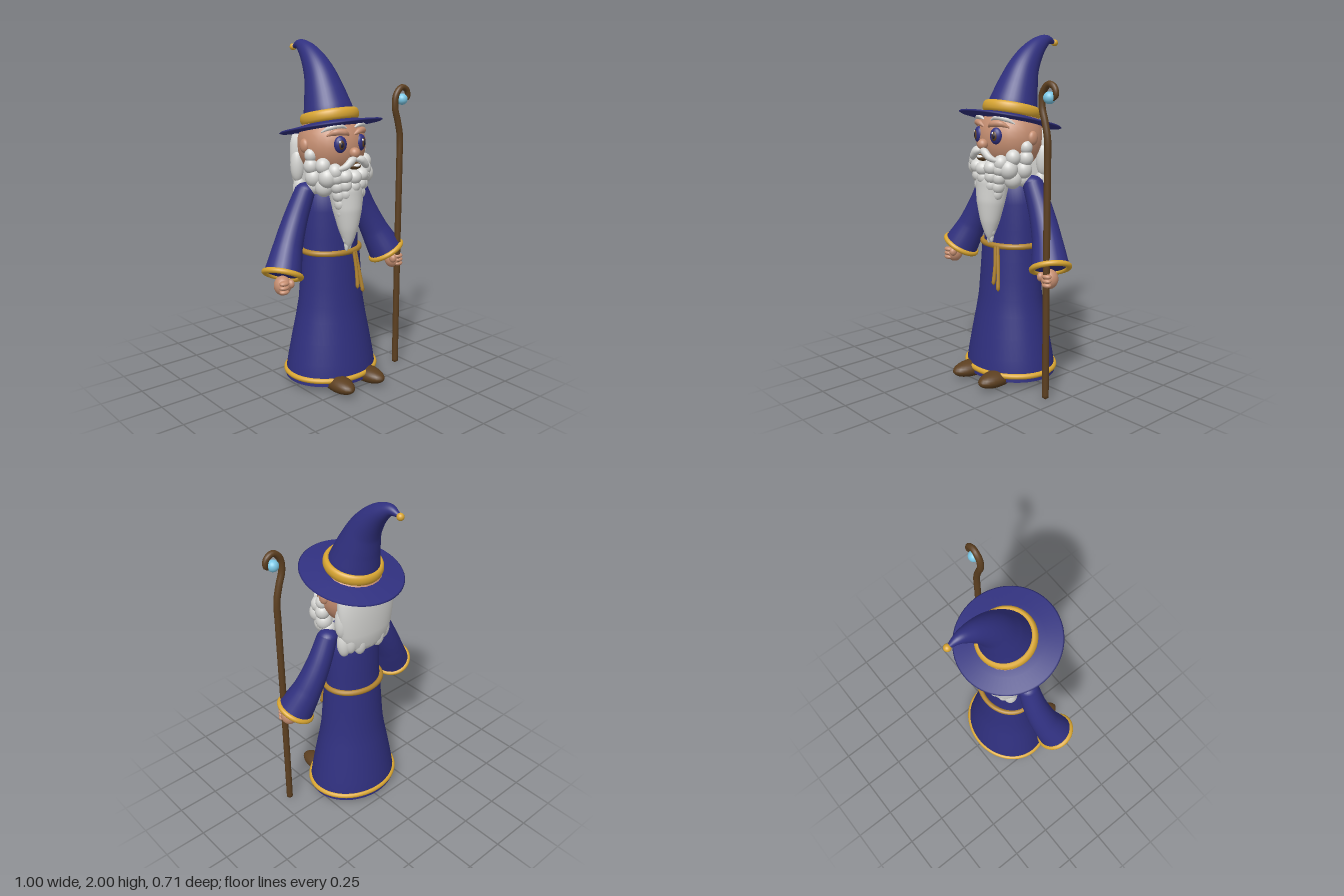
import * as THREE from 'three';
import { mergeVertices } from 'three/addons/utils/BufferGeometryUtils.js';

const mat = (name, color) => Object.assign(new THREE.MeshStandardMaterial({ color }), { name });
const V = (x, y, z) => new THREE.Vector3(x, y, z);

// Round tube through [x, y, z, radius] points, with smoothly varying radius
function sweep(pts, segs = 32, sides = 24) {
  const curve = new THREE.CatmullRomCurve3(pts.map(p => V(p[0], p[1], p[2])));
  const geo = new THREE.TubeGeometry(curve, segs, 1, sides);
  const pos = geo.attributes.position, v = V(0, 0, 0);
  for (let i = 0; i <= segs; i++) {
    const c = curve.getPointAt(i / segs);
    const f = curve.getUtoTmapping(i / segs) * (pts.length - 1);
    const k = Math.min(Math.floor(f), pts.length - 2);
    const r = THREE.MathUtils.lerp(pts[k][3], pts[k + 1][3], f - k);
    for (let j = 0; j <= sides; j++) {
      const n = i * (sides + 1) + j;
      v.fromBufferAttribute(pos, n).sub(c).multiplyScalar(r).add(c);
      pos.setXYZ(n, v.x, v.y, v.z);
    }
  }
  geo.deleteAttribute('uv');
  geo.deleteAttribute('normal');
  const out = mergeVertices(geo, 1e-5);
  out.computeVertexNormals();
  return out;
}

function lathe(points, segs = 48) {
  return new THREE.LatheGeometry(points.map(p => new THREE.Vector2(p[0], p[1])), segs);
}

export function createModel() {
  const root = new THREE.Group();
  const navy = mat('robe blue', 0x30307f);
  const gold = mat('gold trim', 0xd9a632);
  const rope = mat('rope belt', 0xb0832f);
  const skin = mat('skin', 0xc68f72);
  const white = mat('hair grey', 0xd6d6d3);
  const brown = mat('wood and leather', 0x5c3f20);
  const blue = mat('orb blue', 0x7cc8e6);
  const dark = mat('dark eye', 0x1c1c3a);
  const bright = mat('highlight white', 0xf4f4f4);

  const add = (name, geo, material, parent = root) => {
    const m = new THREE.Mesh(geo, material);
    m.name = name;
    parent.add(m);
    return m;
  };
  const ball = (name, material, p, s, parent = root) => {
    const m = add(name, new THREE.SphereGeometry(1, 24, 16), material, parent);
    m.position.set(...p);
    m.scale.set(...s);
    return m;
  };
  // Horizontal ring, radius r, tube t, depth scale sz
  const ring = (name, material, r, t, y, z, sz, parent = root) => {
    const m = add(name, new THREE.TorusGeometry(r, t, 12, 56).rotateX(Math.PI / 2), material, parent);
    m.position.set(0, y, z);
    m.scale.z = sz;
    return m;
  };

  // Robe: skirt and torso, oval in plan
  const skirt = add('skirt', lathe([[0, 0.04], [0.284, 0.04], [0.284, 0.04], [0.28, 0.09], [0.268, 0.16], [0.245, 0.28],
    [0.22, 0.4], [0.202, 0.5], [0.192, 0.62], [0.184, 0.72], [0.178, 0.81]]), navy);
  skirt.scale.z = 0.86;
  skirt.position.z = 0.015;
  const torso = add('torso', lathe([[0.178, 0.8], [0.173, 0.9], [0.17, 1.05], [0.16, 1.14], [0.125, 1.2], [0.07, 1.25], [0, 1.26]]), navy);
  torso.scale.z = 0.78;
  torso.position.z = 0.01;
  ring('hemTrim', gold, 0.281, 0.016, 0.075, 0.015, 0.86);
  ring('belt', rope, 0.18, 0.017, 0.81, 0.01, 0.85);
  add('longBeltTail', sweep([[0.06, 0.81, 0.165, 0.01], [0.08, 0.68, 0.18, 0.01], [0.095, 0.56, 0.195, 0.012], [0.095, 0.555, 0.195, 0]], 16, 10), rope);
  add('shortBeltTail', sweep([[0.045, 0.81, 0.17, 0.01], [0.055, 0.7, 0.182, 0.01], [0.055, 0.59, 0.195, 0.012], [0.055, 0.585, 0.195, 0]], 16, 10), rope);

  // Head
  const head = new THREE.Group();
  head.name = 'head';
  root.add(head);
  ball('skull', skin, [0, 1.42, 0.02], [0.2, 0.2, 0.19], head);
  ball('nose', skin, [0, 1.39, 0.222], [0.031, 0.031, 0.03], head);
  ball('mouth', brown, [0, 1.318, 0.222], [0.038, 0.02, 0.03], head);
  ball('teeth', bright, [0, 1.323, 0.238], [0.024, 0.01, 0.018], head);

  // Paired parts
  for (const s of [1, -1]) {
    const side = s > 0 ? 'left' : 'right';
    const shoe = ball(side + 'Shoe', brown, [s * 0.11, 0.051, 0.22], [0.066, 0.048, 0.135]);
    shoe.rotation.y = s * 0.06;

    // Arm, sleeve and hand
    add(side + 'Sleeve', sweep([[s * 0.185, 1.175, 0.015, 0.058], [s * 0.255, 1.02, 0.015, 0.07],
      [s * 0.325, 0.87, 0.035, 0.084], [s * 0.387, 0.738, 0.072, 0.106]]), navy);
    ball(side + 'Shoulder', navy, [s * 0.185, 1.172, 0.015], [0.058, 0.045, 0.058]);
    const cuff = new THREE.Group();
    cuff.name = side + 'Cuff';
    cuff.position.set(s * 0.39, 0.732, 0.073);
    cuff.quaternion.setFromUnitVectors(V(0, 0, 1), V(s * 0.43, -0.88, 0.28).normalize());
    root.add(cuff);
    add('cuffTrim', new THREE.TorusGeometry(0.103, 0.016, 12, 40), gold, cuff);
    add('sleeveOpening', new THREE.CircleGeometry(0.103, 32), navy, cuff);
    ball(side + 'Hand', skin, [s * 0.415, 0.682, 0.105], [0.048, 0.055, 0.05]);
    ball(side + 'Thumb', skin, [s * 0.385, 0.695, 0.14], [0.02, 0.026, 0.024]);
    for (let i = 0; i < 3; i++)
      ball(side + 'Finger', skin, [s * 0.43, 0.705 - i * 0.024, 0.142], [0.03, 0.015, 0.022]);

    // Face
    const eye = new THREE.Group();
    eye.name = side + 'Eye';
    eye.position.set(s * 0.073, 1.438, 0.185);
    eye.rotation.y = s * 0.3;
    head.add(eye);
    ball('eyeball', navy, [0, 0, 0], [0.038, 0.047, 0.026], eye);
    ball('iris', brown, [0, 0, 0.013], [0.021, 0.031, 0.016], eye);
    ball('pupil', dark, [0, 0, 0.02], [0.011, 0.018, 0.0115], eye);
    ball('glint', bright, [-0.01, 0.016, 0.022], [0.006, 0.007, 0.006], eye);
    ball(side + 'Ear', skin, [s * 0.197, 1.425, 0.025], [0.022, 0.04, 0.032], head);
    add(side + 'Brow', sweep([[s * 0.02, 1.488, 0.195, 0.006], [s * 0.05, 1.503, 0.196, 0.017],
      [s * 0.1, 1.505, 0.175, 0.018], [s * 0.138, 1.485, 0.145, 0.004]], 20, 12), skin, head);
    add(side + 'Eyebrow', sweep([[s * 0.03, 1.525, 0.185, 0.004], [s * 0.07, 1.54, 0.182, 0.014],
      [s * 0.12, 1.53, 0.155, 0.014], [s * 0.155, 1.505, 0.12, 0.003]], 20, 12), white, head);
    add(side + 'Moustache', sweep([[0, 1.358, 0.228, 0.014], [s * 0.035, 1.352, 0.238, 0.022],
      [s * 0.07, 1.322, 0.232, 0.02], [s * 0.1, 1.308, 0.21, 0.013], [s * 0.118, 1.318, 0.2, 0.002]], 24, 14), white, head);

    // Whisker lumps along the jaw
    [[0.18, 1.375, 0.06, 0.036], [0.178, 1.315, 0.06, 0.042], [0.165, 1.25, 0.065, 0.048], [0.15, 1.32, 0.13, 0.042],
      [0.135, 1.255, 0.15, 0.052], [0.13, 1.2, 0.115, 0.052], [0.105, 1.29, 0.18, 0.042], [0.15, 1.2, 0.05, 0.045]]
      .forEach(([x, y, z, r]) => ball('whiskerLump', white, [s * x, y, z], [r, r * 1.1, r], head));
  }

  // Beard: tapering core with rows of soft locks
  const beard = new THREE.Group();
  beard.name = 'beard';
  root.add(beard);
  add('beardCore', sweep([[0, 1.305, 0.13, 0.03], [0, 1.26, 0.135, 0.095], [0, 1.17, 0.145, 0.102], [0, 1.06, 0.16, 0.085],
    [0, 0.95, 0.17, 0.056], [0, 0.87, 0.172, 0.026], [0, 0.825, 0.17, 0.001]], 40), white, beard);
  for (let row = 0; row < 9; row++) {
    const t = row / 8, y = 1.255 - 0.395 * t;
    const w = THREE.MathUtils.lerp(0.12, 0.014, t), n = row < 3 ? 5 : row < 6 ? 4 : row < 8 ? 3 : 2;
    for (let i = 0; i < n; i++) {
      const a = (i / (n - 1) - 0.5) * 2.3;
      ball('beardLock', white, [Math.sin(a) * w * 0.88, y + 0.008 * (i % 2), 0.15 + 0.016 * t + Math.cos(a) * w * 0.55],
        [w * 0.3 + 0.008, 0.042, w * 0.3 + 0.01], beard);
    }
  }

  // Long hair at the back
  const hair = add('backHair', lathe([[0, 1.1], [0.1, 1.1], [0.155, 1.14], [0.182, 1.22], [0.196, 1.33], [0.196, 1.42], [0.18, 1.47], [0, 1.48]]), white);
  hair.scale.z = 0.43;
  hair.position.z = -0.1;
  for (let i = 0; i < 7; i++) {
    const a = (i / 6 - 0.5) * 2.8;
    ball('hairLock', white, [Math.sin(a) * 0.15, 1.16 + 0.02 * (i % 2), -0.075 - Math.cos(a) * 0.055], [0.042, 0.085, 0.04]);
    ball('upperHairLock', white, [Math.sin(a) * 0.165, 1.3 + 0.03 * (i % 2), -0.075 - Math.cos(a) * 0.065], [0.042, 0.1, 0.042]);
  }

  // Hat: tilted brim and band, bent cone, ball at the tip
  const hatBase = new THREE.Group();
  hatBase.name = 'hatBase';
  hatBase.position.set(0, 1.517, 0.015);
  hatBase.rotation.x = -0.225;
  root.add(hatBase);
  add('brim', lathe([[0, -0.012], [0.2, -0.01], [0.288, -0.005], [0.296, 0], [0.288, 0.006], [0.2, 0.016], [0.13, 0.03], [0, 0.03]], 64), navy, hatBase);
  const band = ring('hatBand', gold, 0.15, 0.019, 0.056, 0, 1, hatBase);
  band.scale.y = 1.7;
  add('hatCone', sweep([[0, 1.53, 0.012, 0.152], [0, 1.61, -0.012, 0.14], [0, 1.7, -0.042, 0.118], [0, 1.8, -0.085, 0.092],
    [0, 1.885, -0.148, 0.069], [0, 1.94, -0.212, 0.049], [0, 1.967, -0.272, 0.03], [0, 1.955, -0.332, 0.01]], 48, 40), navy);
  ball('hatTip', gold, [0, 1.953, -0.338], [0.02, 0.02, 0.02]);

  // Crooked staff with orb
  add('staff', sweep([[0.424, 0.0, 0.138, 0.001], [0.424, 0.004, 0.138, 0.019], [0.424, 0.7, 0.138, 0.019], [0.426, 1.3, 0.138, 0.019],
    [0.425, 1.44, 0.138, 0.019], [0.405, 1.53, 0.138, 0.019], [0.382, 1.61, 0.138, 0.019], [0.39, 1.685, 0.138, 0.019],
    [0.433, 1.725, 0.138, 0.018], [0.474, 1.706, 0.138, 0.017], [0.483, 1.665, 0.138, 0.015], [0.465, 1.64, 0.138, 0.002]], 140, 14), brown);
  ball('orb', blue, [0.436, 1.655, 0.138], [0.033, 0.033, 0.033]);

  return root;
}
